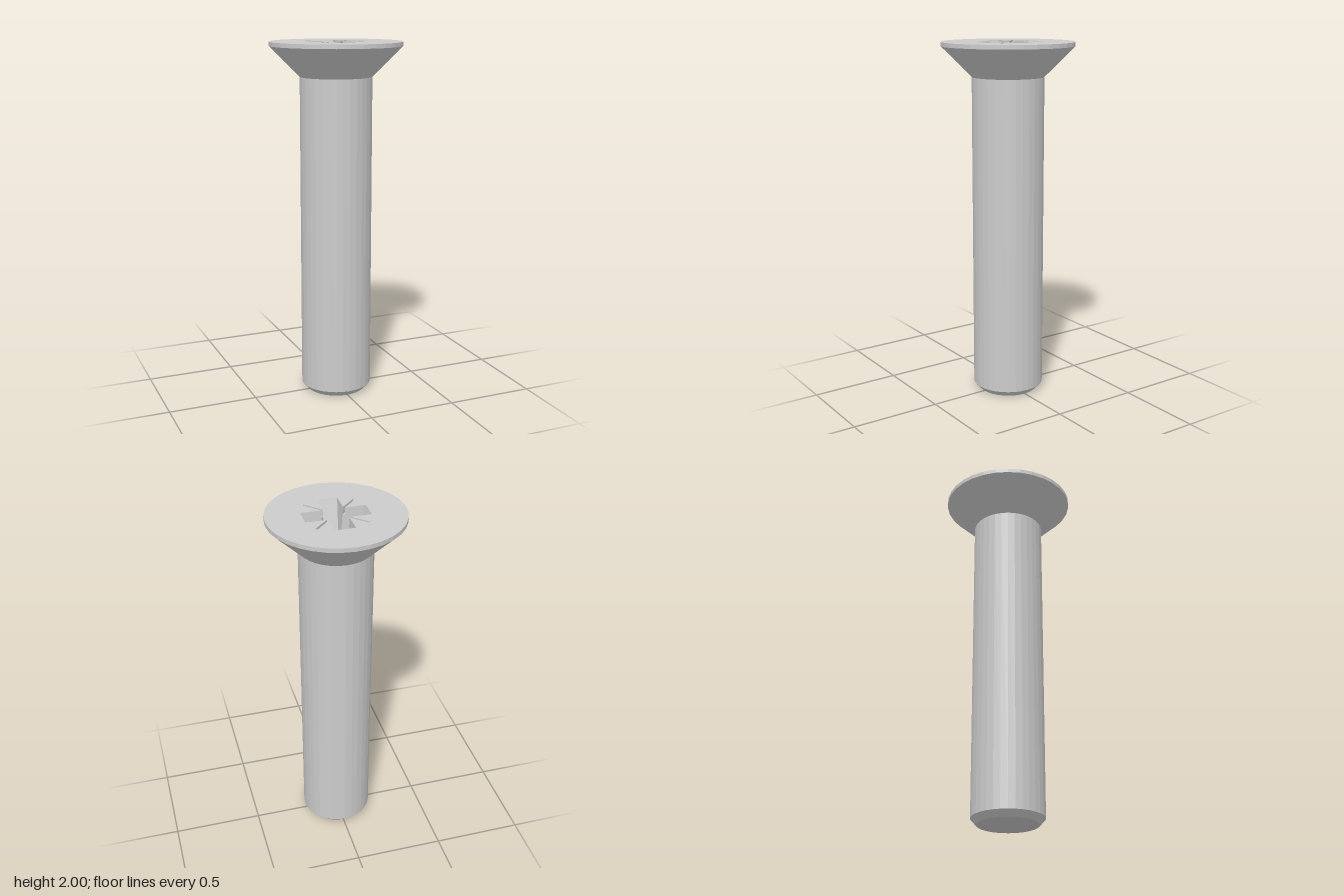
import * as THREE from 'three';

const TOP = 2, FLOOR = 1.8, SLOT_DEPTH = 0.04, SEGMENTS = 32;
const HEAD_R = 0.368, CORE_R = 0.073;

const material = new THREE.MeshStandardMaterial({ color: 0xcccccc, flatShading: true });

function addMesh(group, name, geometry) {
  const mesh = new THREE.Mesh(geometry, material);
  mesh.name = name;
  group.add(mesh);
}

function lathe(profile) {
  return new THREE.LatheGeometry(profile.map(([r, y]) => new THREE.Vector2(r, y)), SEGMENTS);
}

// One quarter turn steps of a plan point [x, z].
function turn([x, z], k) {
  const c = [1, 0, -1, 0][k], s = [0, 1, 0, -1][k];
  return [x * c - z * s, x * s + z * c];
}

// Cross outline: arm half length, arm half width, start of the cut inner corner.
function crossCorners(length, width, cut, k) {
  return [[length, -width], [length, width], [cut, width], [width, cut]].map((p) => turn(p, k));
}

function quadGeometry(quads) {
  const positions = [];
  for (const [a, b, c, d] of quads) {
    for (const p of [a, b, c, a, c, d]) positions.push(...p);
  }
  const geometry = new THREE.BufferGeometry();
  geometry.setAttribute('position', new THREE.Float32BufferAttribute(positions, 3));
  geometry.computeVertexNormals();
  return geometry;
}

const at = ([x, z], y) => [x, y, z];
const shift = ([x, z], [dx, dz], d) => [x + dx * d, z + dz * d];

export function createModel() {
  const screw = new THREE.Group();
  screw.name = 'countersunkScrew';

  // Chamfered shank and conical head with a thin rim
  addMesh(screw, 'shank', lathe([[0, 0], [0.168, 0], [0.2, 0.035], [0.2, 1.81]]));
  addMesh(screw, 'head', lathe([[0.2, 1.81], [HEAD_R, 1.977], [HEAD_R, TOP]]));

  // Tapered cross recess with a thin diagonal slot at each inner corner
  const walls = [], slots = [], outline = [];
  const t = SLOT_DEPTH / (TOP - FLOOR), slotY = TOP - SLOT_DEPTH;
  for (let k = 0; k < 4; k++) {
    const next = (k + 1) % 4;
    const upper = [...crossCorners(0.174, 0.054, 0.063, k), crossCorners(0.174, 0.054, 0.063, next)[0]];
    const lower = [...crossCorners(0.105, 0.042, 0.06, k), crossCorners(0.105, 0.042, 0.06, next)[0]];
    const middle = upper.map((p, i) => p.map((v, j) => v + (lower[i][j] - v) * t));

    for (let i = 0; i < 4; i++) {
      // The cut corner starts below the slot mouth
      const from = i === 2 ? middle : upper, y = i === 2 ? slotY : TOP;
      walls.push([at(from[i], y), at(lower[i], FLOOR), at(lower[i + 1], FLOOR), at(from[i + 1], y)]);
    }

    // Slot sides, sloped outer end and floor
    const out = turn([Math.SQRT1_2, Math.SQRT1_2], k);
    const p = upper[2], q = upper[3];
    const pEnd = shift(p, out, 0.112), qEnd = shift(q, out, 0.112);
    const rim = [p, pEnd, qEnd, q];
    const base = [middle[2], shift(pEnd, out, -0.014), shift(qEnd, out, -0.014), middle[3]];
    for (let i = 0; i < 3; i++) {
      slots.push([at(rim[i], TOP), at(base[i], slotY), at(base[i + 1], slotY), at(rim[i + 1], TOP)]);
    }
    slots.push(base.map((b) => at(b, slotY)).reverse());
    outline.push(upper[0], upper[1], ...rim);
  }
  addMesh(screw, 'recessWalls', quadGeometry(walls));
  addMesh(screw, 'recessSlots', quadGeometry(slots));

  // Flat top face around the recess opening
  const face = new THREE.Shape();
  for (let i = 0; i < SEGMENTS; i++) {
    const a = (i / SEGMENTS) * Math.PI * 2;
    face[i ? 'lineTo' : 'moveTo'](HEAD_R * Math.cos(a), HEAD_R * Math.sin(a));
  }
  face.holes.push(new THREE.Path(outline.map(([x, z]) => new THREE.Vector2(x, -z))));
  addMesh(screw, 'headFace', new THREE.ShapeGeometry(face).rotateX(-Math.PI / 2).translate(0, TOP, 0));

  // Flat floor of each arm, ending at the round centre pit
  const arc = Math.atan2(0.042, 0.06);
  for (let k = 0; k < 4; k++) {
    const arm = new THREE.Shape();
    arm.moveTo(0.06, -0.042);
    arm.lineTo(0.105, -0.042);
    arm.lineTo(0.105, 0.042);
    arm.lineTo(0.06, 0.042);
    arm.absarc(0, 0, CORE_R, arc, -arc, true);
    const floor = new THREE.ShapeGeometry(arm, 8).rotateX(-Math.PI / 2);
    addMesh(screw, 'recessFloor', floor.rotateY(k * Math.PI / 2).translate(0, FLOOR, 0));
  }

  // Shallow conical pit at the centre
  addMesh(screw, 'centrePit', lathe([[CORE_R, FLOOR], [0, FLOOR - 0.03]]));

  return screw;
}
